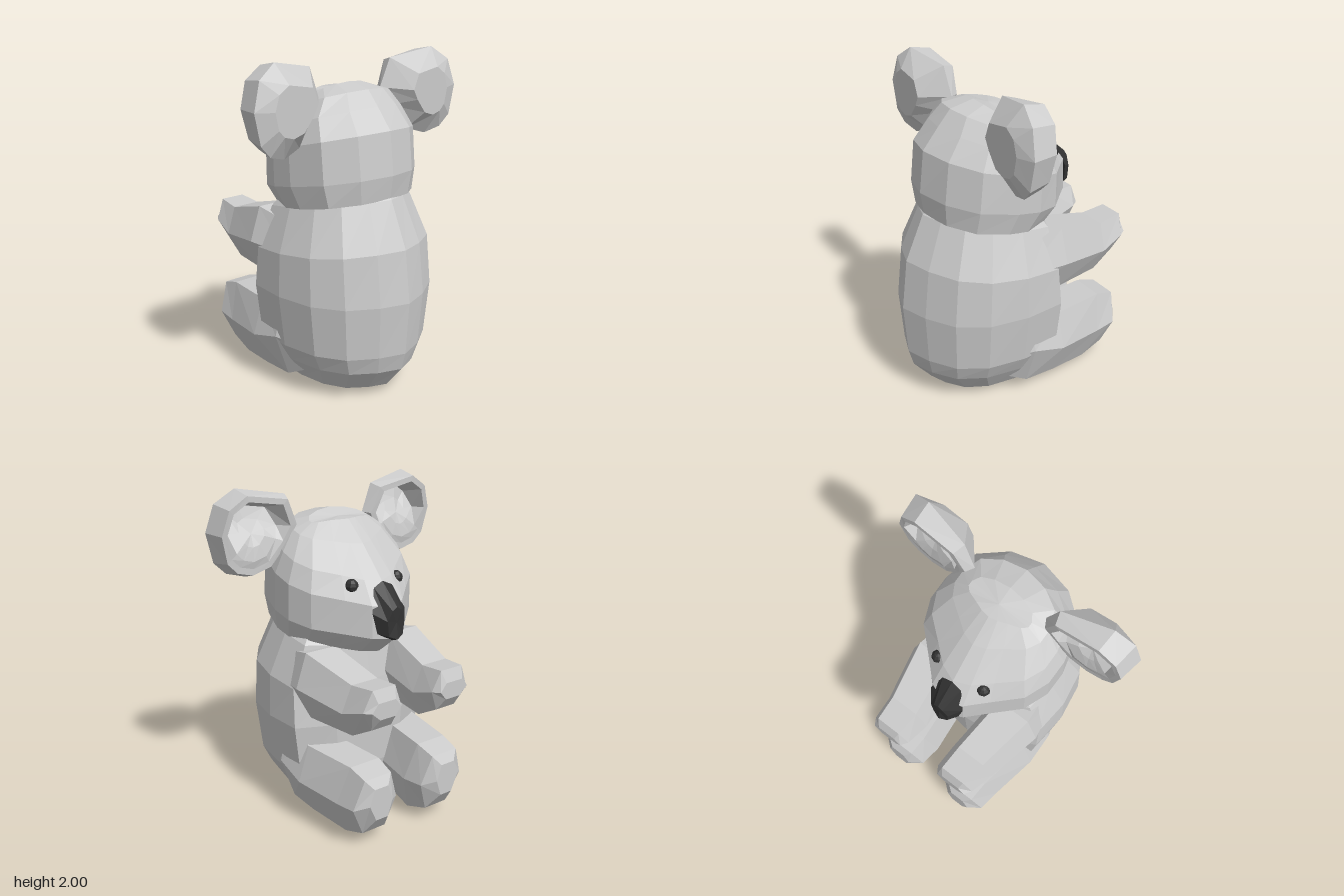
import * as THREE from 'three';

const grey = new THREE.MeshStandardMaterial({ color: 0xcccccc, flatShading: true });
const dark = new THREE.MeshStandardMaterial({ color: 0x333333, flatShading: true });

// Closed skin through rings of points, capped at both ends, always facing outward
function loft(name, rings, material = grey) {
  const n = rings[0].length, tris = [];
  const mean = r => r.reduce((s, p) => s.add(p), new THREE.Vector3()).divideScalar(n);
  const end = rings[rings.length - 1];
  const first = mean(rings[0]), last = mean(end);
  for (let j = 0; j < n; j++) {
    const k = (j + 1) % n;
    tris.push([first, rings[0][k], rings[0][j]], [end[j], end[k], last]);
    for (let i = 0; i < rings.length - 1; i++) {
      const a = rings[i], b = rings[i + 1];
      tris.push([a[j], a[k], b[k]], [a[j], b[k], b[j]]);
    }
  }
  const volume = tris.reduce((s, [a, b, c]) => s + a.dot(b.clone().cross(c)), 0);
  if (volume < 0) tris.forEach(t => t.reverse());
  const geometry = new THREE.BufferGeometry().setFromPoints(tris.flat());
  geometry.computeVertexNormals();
  const mesh = new THREE.Mesh(geometry, material);
  mesh.name = name;
  return mesh;
}

// Mirror a half outline that starts and ends on x = 0
const mirrorHalf = half => [...half, ...half.slice(1, -1).reverse().map(([x, ...r]) => [-x, ...r])];

// Ring from a plan of [share of half width, share from back to front], tilted in y, sides lowered by drop
function planRing(plan, [yBack, yFront, zBack, zFront, w, drop = 0]) {
  return mirrorHalf(plan).map(([x, t]) => new THREE.Vector3(
    x * w, THREE.MathUtils.lerp(yBack, yFront, t) - drop * x * x, THREE.MathUtils.lerp(zBack, zFront, t)));
}

// Limb running along z with six-sided sections [z, cx, cy, half width, half height, lean]
function limb(name, side, sections) {
  const hex = [[1, 0], [0.6, 1], [-0.6, 1], [-1, 0], [-0.6, -1], [0.45, -1]];
  return loft(name, sections.map(([z, cx, cy, hw, hh, lean = 0]) =>
    hex.map(([x, y]) => new THREE.Vector3(side * (cx + x * hw), cy + y * hh, z - y * lean))));
}

// Ear: convex back, and a front whose upper rim curls over a hollow that fades out downward
function ear(name, side) {
  const outline = [[0.24, 1.78], [0.31, 1.95], [0.6, 2], [0.72, 1.92], [0.77, 1.76],
    [0.73, 1.58], [0.66, 1.51], [0.55, 1.48], [0.42, 1.52], [0.3, 1.67]];
  const cx = 0.53, cy = 1.75;
  // scale, z, z per unit x, z per unit y, depth of the hollow
  const rings = [
    [0.55, 0.345, 0, 0, 0],
    [1, 0.255, 0.22, -0.04, 0],
    [0.9, 0.15, 0.03, -0.09, 0],
    [0.76, 0.15, 0.03, -0.09, 0],
    [0.6, 0.165, 0.03, 0, 0.12],
    [0.3, 0.18, 0.03, 0, 0.08],
  ];
  return loft(name, rings.map(([s, z, zx, zy, hollow]) => outline.map(([x, y]) => new THREE.Vector3(
    side * (cx + (x - cx) * s), cy + (y - cy) * s,
    z + (x - cx) * zx + (y - cy) * zy + hollow * THREE.MathUtils.smoothstep(y, 1.6, 1.92)))));
}

export function createModel() {
  const model = new THREE.Group();
  model.name = 'koala';

  // Torso, from the seat up into the neck
  const bodyPlan = [[0, 0], [0.35, 0.06], [0.7, 0.17], [0.92, 0.35], [1, 0.6], [0.96, 0.86], [0.5, 0.97], [0, 1]];
  model.add(loft('body', [
    [0.005, 0.015, 0.25, -0.1, 0.17],
    [0.055, 0.06, 0.53, -0.18, 0.31],
    [0.2, 0.2, 0.65, -0.22, 0.4],
    [0.31, 0.31, 0.68, -0.24, 0.455],
    [0.63, 0.63, 0.7, -0.25, 0.495],
    [0.94, 0.86, 0.66, -0.22, 0.485],
    [1.21, 1.1, 0.54, -0.18, 0.385],
    [1.35, 1.2, 0.4, -0.1, 0.3],
  ].map(r => planRing(bodyPlan, r))));

  // Head with tapering muzzle
  const headPlan = [[0, 0], [0.48, 0.05], [0.86, 0.18], [1, 0.4], [1, 0.55],
    [0.86, 0.7], [0.52, 0.84], [0.26, 0.95], [0, 1]];
  model.add(loft('head', [
    [1.21, 1.07, 0.53, -0.3, 0.385],
    [1.35, 1.18, 0.55, -0.43, 0.42],
    [1.6, 1.37, 0.52, -0.42, 0.42],
    [1.72, 1.5, 0.42, -0.32, 0.375],
    [1.81, 1.68, 0.34, -0.14, 0.29, 0.01],
    [1.84, 1.8, 0.19, 0, 0.2, 0.03],
  ].map(r => planRing(headPlan, r))));

  // Nose plate
  model.add(loft('nose', [
    [[0, 1.5, -0.325], [0.065, 1.47, -0.33], [0.115, 1.34, -0.385], [0.09, 1.22, -0.4], [0, 1.17, -0.42]],
    [[0, 1.38, -0.46], [0.03, 1.36, -0.46], [0.06, 1.3, -0.455], [0.05, 1.21, -0.455], [0, 1.19, -0.472]],
  ].map(half => mirrorHalf(half).map(p => new THREE.Vector3(...p))), dark));

  for (const [label, side] of [['left', 1], ['right', -1]]) {
    model.add(ear(label + 'Ear', side));

    const eye = new THREE.Mesh(new THREE.SphereGeometry(0.04, 8, 6), dark);
    eye.name = label + 'Eye';
    eye.position.set(side * 0.16, 1.48, -0.25);
    model.add(eye);

    model.add(limb(label + 'Arm', side, [
      [0.12, 0.3, 0.87, 0.13, 0.17],
      [-0.15, 0.305, 0.895, 0.175, 0.205],
      [-0.49, 0.255, 0.845, 0.15, 0.16, 0.01],
      [-0.645, 0.245, 0.895, 0.13, 0.125, 0.015],
      [-0.69, 0.245, 0.9, 0.1, 0.05],
    ]));

    model.add(limb(label + 'Leg', side, [
      [0.2, 0.28, 0.32, 0.13, 0.18],
      [0.06, 0.3, 0.345, 0.17, 0.27],
      [-0.15, 0.295, 0.29, 0.18, 0.22],
      [-0.46, 0.25, 0.27, 0.17, 0.23, 0.04],
      [-0.6, 0.25, 0.28, 0.155, 0.185, 0.025],
      [-0.66, 0.25, 0.31, 0.08, 0.1],
    ]));
  }
  return model;
}
